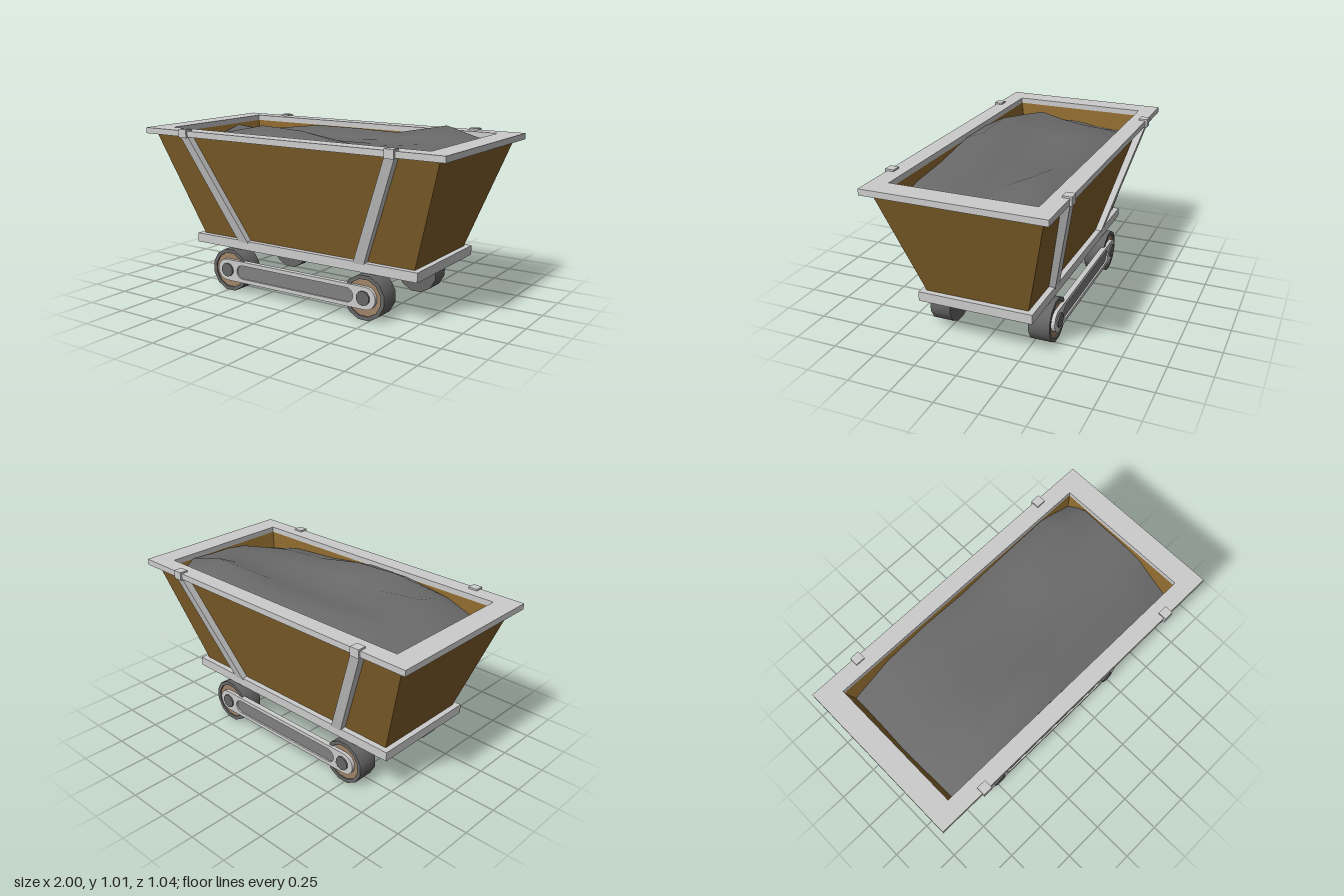
import * as THREE from 'three';
import { toCreasedNormals } from 'three/addons/utils/BufferGeometryUtils.js';

const mat = (color, extra = {}) => new THREE.MeshStandardMaterial({ color, ...extra });
const steel = mat(0xcccccc);
const rust = mat(0x86632b, { side: THREE.DoubleSide });
const coal = mat(0x6a6a6a, { side: THREE.DoubleSide });
const dark = mat(0x666666);
const tan = mat(0xa08468);
const slotGrey = mat(0x808080);

function add(parent, name, geometry, material, x = 0, y = 0, z = 0) {
  const mesh = new THREE.Mesh(geometry, material);
  mesh.name = name;
  mesh.position.set(x, y, z);
  parent.add(mesh);
  return mesh;
}

// Flat-sided skin through rectangles given as [y, halfX, halfZ]
function loftRects(rings) {
  const corners = [[1, 1], [1, -1], [-1, -1], [-1, 1]];
  const at = (i, k) => {
    const [y, x, z] = rings[i], [sx, sz] = corners[k % 4];
    return [sx * x, y, sz * z];
  };
  const pos = [];
  for (let i = 0; i < rings.length - 1; i++) {
    for (let k = 0; k < 4; k++) {
      const a = at(i, k), b = at(i, k + 1), c = at(i + 1, k + 1), d = at(i + 1, k);
      pos.push(...a, ...b, ...c, ...a, ...c, ...d);
    }
  }
  const g = new THREE.BufferGeometry();
  g.setAttribute('position', new THREE.Float32BufferAttribute(pos, 3));
  g.computeVertexNormals();
  return g;
}

// Leaning post: a box whose ends are moved to [x0, x1, y, z0, z1]
function post(bottom, top) {
  const g = new THREE.BoxGeometry(1, 1, 1), p = g.attributes.position;
  for (let i = 0; i < p.count; i++) {
    const [x0, x1, y, z0, z1] = p.getY(i) < 0 ? bottom : top;
    p.setXYZ(i, p.getX(i) < 0 ? x0 : x1, y, p.getZ(i) < 0 ? z0 : z1);
  }
  g.computeVertexNormals();
  return g;
}

function stadium(PathType, half, r) {
  const s = new PathType();
  s.absarc(half, 0, r, -Math.PI / 2, Math.PI / 2, false);
  s.absarc(-half, 0, r, Math.PI / 2, Math.PI * 1.5, false);
  s.closePath();
  return s;
}

// Heap surface: heights on a coarse grid, rows from back to front
function heapGeometry() {
  const xs = [-0.86, -0.58, -0.28, 0, 0.3, 0.62, 0.86];
  const zs = [-0.405, -0.27, -0.13, 0, 0.145, 0.285, 0.405];
  const heights = [
    [0.83, 0.90, 0.92, 0.91, 0.93, 0.95, 0.86],
    [0.83, 0.92, 0.96, 0.96, 0.955, 1.017, 0.95],
    [0.84, 0.93, 0.93, 0.92, 0.93, 0.95, 0.94],
    [0.86, 0.95, 0.93, 0.92, 0.92, 0.94, 0.94],
    [0.85, 0.985, 0.95, 0.94, 0.92, 0.93, 0.92],
    [0.83, 0.95, 1.012, 1.0, 0.945, 0.92, 0.87],
    [0.82, 0.91, 0.95, 0.95, 0.91, 0.89, 0.83],
  ];
  const g = new THREE.PlaneGeometry(1, 1, 6, 6), p = g.attributes.position;
  for (let i = 0; i < p.count; i++) {
    const col = i % 7, row = Math.floor(i / 7);
    p.setXYZ(i, xs[col], heights[row][col], zs[row]);
  }
  g.computeVertexNormals();
  return g;
}

// Two wheels and the side bar joining them, outer face towards +z
function wheelSet() {
  const set = new THREE.Group();
  const profile = [[0, 0.24], [0.131, 0.24], [0.131, 0.365], [0.108, 0.365], [0.108, 0.35]];
  const tyre = toCreasedNormals(
    new THREE.LatheGeometry(profile.map(([r, z]) => new THREE.Vector2(r, z)), 12, Math.PI / 12)
      .rotateX(Math.PI / 2), 0.7);
  const disc = new THREE.CylinderGeometry(0.109, 0.109, 0.01, 12, 1, false, Math.PI / 12).rotateX(Math.PI / 2);
  const cap = new THREE.CylinderGeometry(0.042, 0.042, 0.025, 10).rotateX(Math.PI / 2);
  for (const s of [-1, 1]) {
    add(set, 'wheel', tyre, dark, s * 0.475, 0.13, 0);
    add(set, 'wheelDisc', disc, tan, s * 0.475, 0.13, 0.352);
    add(set, 'axleCap', cap, dark, s * 0.48, 0.134, 0.3755);
  }
  const outline = stadium(THREE.Shape, 0.49, 0.065);
  outline.holes.push(stadium(THREE.Path, 0.37, 0.042));
  const bar = new THREE.ExtrudeGeometry(outline, { depth: 0.033, bevelEnabled: false, curveSegments: 8 });
  add(set, 'sideBar', bar, steel, 0, 0.133, 0.345);
  const panel = new THREE.ExtrudeGeometry(stadium(THREE.Shape, 0.37, 0.043),
    { depth: 0.023, bevelEnabled: false, curveSegments: 8 });
  add(set, 'barSlotPanel', panel, slotGrey, 0, 0.133, 0.3455);
  return set;
}

export function createModel() {
  const model = new THREE.Group();
  model.name = 'mineCart';

  // Tub with thick sloping walls
  add(model, 'tub', loftRects([
    [0.31, 0.735, 0.3], [0.942, 0.95, 0.468], [0.942, 0.87, 0.41], [0.32, 0.66, 0.25], [0.32, 0, 0],
  ]), rust);

  // Flat rim around the top
  add(model, 'rim', loftRects([
    [0.94, 0.87, 0.41], [0.94, 1, 0.51], [0.975, 1, 0.51], [0.975, 0.87, 0.41], [0.94, 0.87, 0.41],
  ]), steel);

  // Base frame with a recessed floor
  add(model, 'baseFrame', loftRects([
    [0.285, 0.745, 0.31], [0.26, 0.745, 0.31], [0.26, 0.77, 0.335], [0.315, 0.77, 0.335], [0.315, 0, 0],
  ]), steel);
  add(model, 'baseFloor', new THREE.BoxGeometry(1.49, 0.02, 0.62), dark, 0, 0.285, 0);

  add(model, 'coalHeap', heapGeometry(), coal);

  // Leaning side posts, each hooked over the rim
  for (const z of [-1, 1]) {
    for (const x of [-1, 1]) {
      const end = (x0, x1, y, z0, z1) => [
        Math.min(x * x0, x * x1), Math.max(x * x0, x * x1), y,
        Math.min(z * z0, z * z1), Math.max(z * z0, z * z1),
      ];
      add(model, 'sidePost', post(end(0.37, 0.44, 0.305, 0.28, 0.337), end(0.662, 0.722, 0.945, 0.45, 0.513)), steel);
      add(model, 'postHook', post(end(0.665, 0.722, 0.935, 0.47, 0.522), end(0.665, 0.722, 0.985, 0.47, 0.522)), steel);
    }
  }

  // Wheel sets, front and back
  for (const s of [1, -1]) {
    const set = wheelSet();
    set.name = s > 0 ? 'frontWheelSet' : 'backWheelSet';
    set.rotation.y = s > 0 ? 0 : Math.PI;
    set.position.set(-0.012, 0, 0.003);
    model.add(set);
  }
  return model;
}
